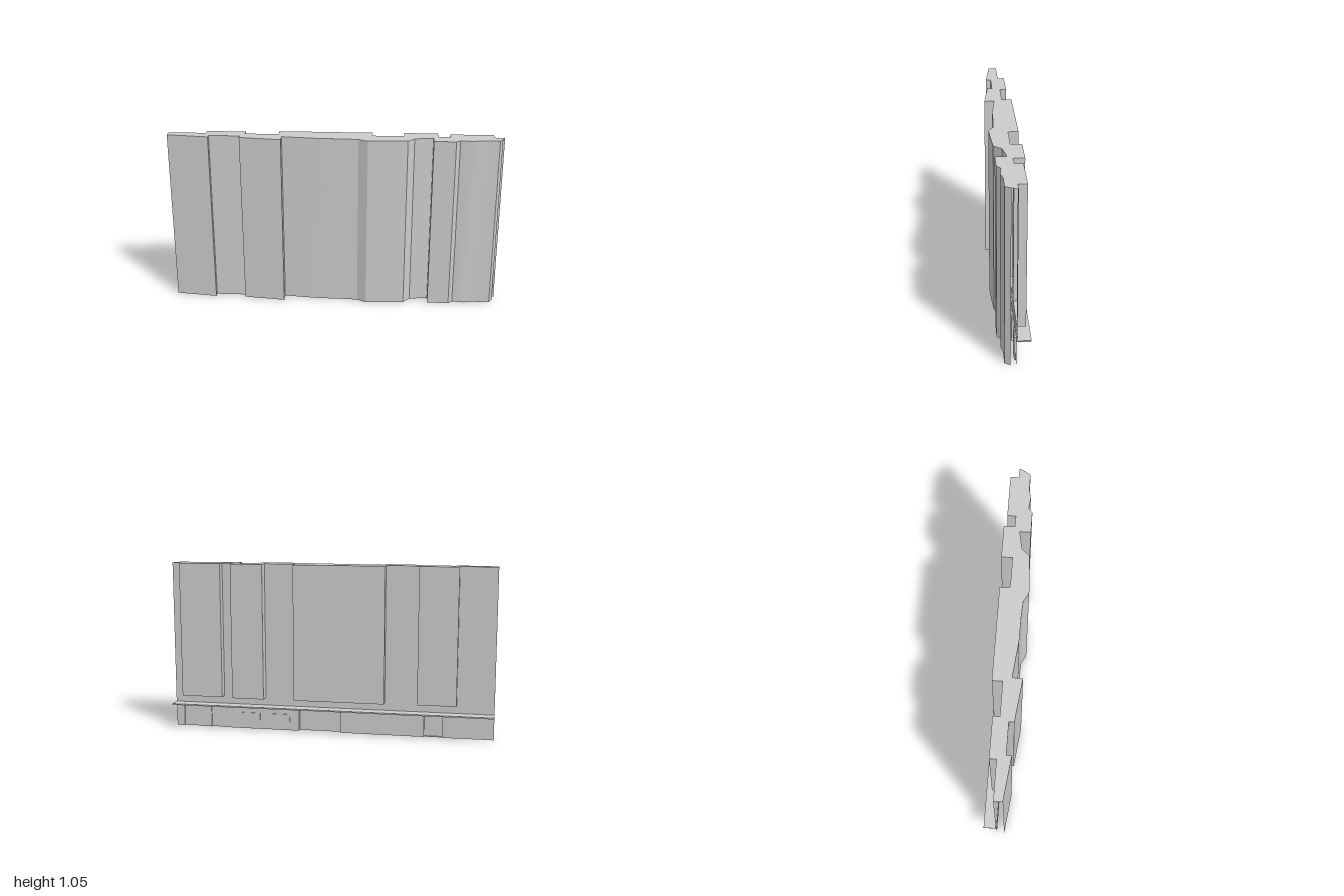
import * as THREE from 'three';
import { toCreasedNormals } from 'three/addons/utils/BufferGeometryUtils.js';

const TOP = 1.05, BACK = -0.02;

export function createModel() {
  const group = new THREE.Group();
  const material = new THREE.MeshStandardMaterial({ color: 0xcccccc, side: THREE.DoubleSide });

  const add = (name, geometry) => {
    const mesh = new THREE.Mesh(geometry, material);
    mesh.name = name;
    group.add(mesh);
    return mesh;
  };

  // Upright sheet following a plan path of [x, z] points; +x travel faces +z
  const sheet = (path, y0, y1) => {
    const pos = [];
    for (let i = 0; i < path.length - 1; i++) {
      const [ax, az] = path[i], [bx, bz] = path[i + 1];
      pos.push(ax, y0, az, bx, y0, bz, bx, y1, bz, ax, y0, az, bx, y1, bz, ax, y1, az);
    }
    const g = new THREE.BufferGeometry();
    g.setAttribute('position', new THREE.Float32BufferAttribute(pos, 3));
    return toCreasedNormals(g, 0.4);
  };

  // Flat horizontal plate from a plan outline, facing up
  const plate = (outline, y) => {
    const shape = new THREE.Shape(outline.map(([x, z]) => new THREE.Vector2(x, -z)));
    return new THREE.ShapeGeometry(shape).rotateX(-Math.PI / 2).translate(0, y, 0);
  };

  const box = (name, x0, x1, y0, y1, z0, z1) =>
    add(name, new THREE.BoxGeometry(x1 - x0, y1 - y0, z1 - z0))
      .position.set((x0 + x1) / 2, (y0 + y1) / 2, (z0 + z1) / 2);

  // Stepped and faceted front face
  const front = [
    [-1, 0.03], [-0.75, 0.06], [-0.75, 0.03], [-0.565, 0.03], [-0.565, 0.06],
    [-0.315, 0.09], [-0.315, 0.03], [-0.1, 0.053], [0.05, 0.055], [0.14, 0.06],
    [0.195, 0.09], [0.3, 0.085], [0.43, 0.075], [0.47, 0.03], [0.58, 0.01],
    [0.58, 0.075], [0.71, 0.075], [0.735, 0.052], [0.81, 0.06], [0.86, 0.048],
    [0.965, 0.048], [0.985, 0.015],
  ];
  add('frontFace', sheet(front, 0, TOP));

  // Back wall with raised panels: [x0, x1, z]
  const panels = [[0.68, 0.94, -0.07], [0.41, 0.61, -0.085], [-0.34, 0.22, -0.08], [-0.775, -0.54, -0.06]];
  const panelFoot = 0.215;
  const back = [[1, BACK]];
  for (const [x0, x1, z] of panels) {
    back.push([x1, BACK], [x1, z], [x0, z], [x0, BACK]);
    const foot = plate([[x0, BACK], [x1, BACK], [x1, z], [x0, z]], panelFoot);
    add('panelFoot', foot);
  }
  back.push([-1, BACK]);
  add('backPanels', sheet(back, panelFoot, TOP));
  add('backWall', sheet([[1, BACK], [-1, BACK]], 0.16, panelFoot));

  // Cap closing the top between both faces
  add('topCap', plate([...front, ...back], TOP));

  // Ledge along the back
  box('ledge', -1, 1, 0.157, 0.165, -0.095, -0.015);

  // Skirting under the ledge with shallow recesses: [x0, x1, z]
  const skirtZ = -0.015;
  const recesses = [[0.86, 0.95, -0.006], [0.69, 0.77, -0.006], [-0.06, 0.2, 0.008], [-0.69, -0.58, 0.008]];
  const skirt = [[1, skirtZ]];
  for (const [x0, x1, z] of recesses) {
    skirt.push([x1, skirtZ], [x1, z], [x0, z], [x0, skirtZ]);
  }
  skirt.push([-1, skirtZ]);
  add('skirting', sheet(skirt, 0.008, 0.157));
  add('recessFloor', plate([[-0.69, skirtZ], [-0.69, 0.008], [-0.58, 0.008], [-0.58, skirtZ]], 0.01));

  // Small raised plates on the skirting
  for (const [x0, x1] of [[0.45, 0.57], [0.26, 0.37]]) {
    box('skirtingPlate', x0, x1, 0.06, 0.11, -0.02, -0.014);
  }

  return group;
}
